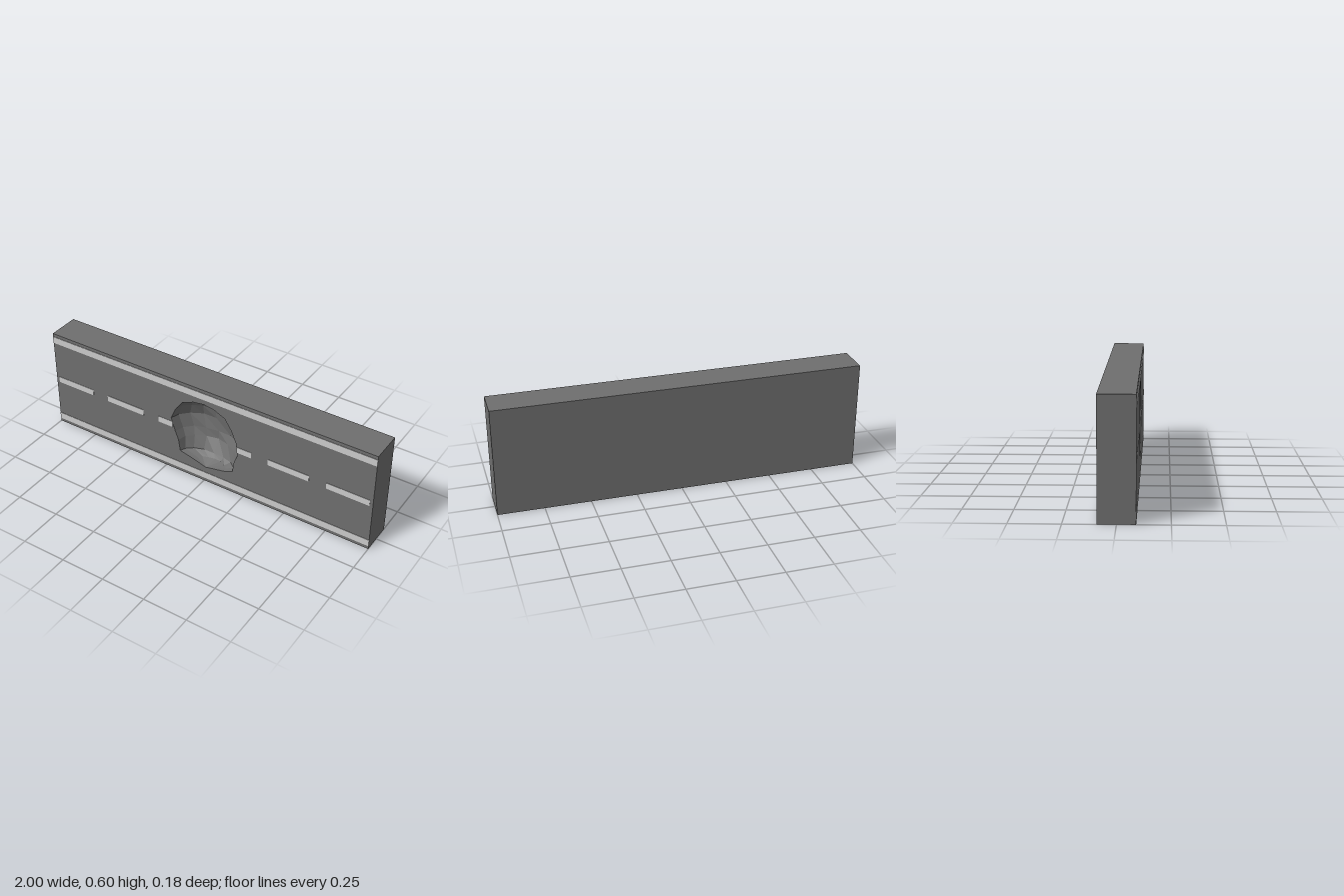
import * as THREE from 'three';

const FRONT = 0.09;
const asphalt = new THREE.MeshStandardMaterial({ color: 0x6e6e6e, flatShading: true });
const paint = new THREE.MeshStandardMaterial({ color: 0xcccccc, flatShading: true });

// Pothole rows from top to bottom: [y, left edge x, right edge x]
const ROWS = [
  [0.51, 0, 0], [0.50, -0.065, 0.065], [0.47, -0.135, 0.13], [0.41, -0.18, 0.17],
  [0.34, -0.21, 0.20], [0.26, -0.185, 0.21], [0.21, -0.165, 0.19],
  [0.14, -0.155, 0.18], [0.12, -0.07, 0.13], [0.096, 0.01, 0.01],
];

function add(group, name, geometry, material) {
  const mesh = new THREE.Mesh(geometry, material);
  mesh.name = name;
  group.add(mesh);
}

// Hollow of the pothole: each row is a half ellipse sunk behind the road face
function potholeGeometry() {
  const columns = 8, depth = 0.135, positions = [], index = [];
  ROWS.forEach(([y, left, right], r) => {
    const rowDepth = depth * Math.sqrt(Math.max(0, 1 - ((y - 0.303) / 0.207) ** 2));
    for (let c = 0; c <= columns; c++) {
      const angle = (c / columns - 0.5) * Math.PI;
      const rough = 1 + 0.05 * Math.sin(r * 2.3 + c * 1.7);
      positions.push(
        (left + right) / 2 + (right - left) / 2 * Math.sin(angle),
        y,
        FRONT - rowDepth * Math.cos(angle) * rough,
      );
      if (r < ROWS.length - 1 && c < columns) {
        const a = r * (columns + 1) + c, b = a + columns + 1;
        index.push(a, b, b + 1, a, b + 1, a + 1);
      }
    }
  });
  const geometry = new THREE.BufferGeometry();
  geometry.setAttribute('position', new THREE.Float32BufferAttribute(positions, 3));
  geometry.setIndex(index);
  geometry.computeVertexNormals();
  return geometry;
}

export function createModel() {
  const model = new THREE.Group();
  model.name = 'roadSection';

  // Slab sides and back: a box without its front face
  const slab = new THREE.BoxGeometry(2, 0.6, 2 * FRONT).translate(0, 0.3, 0);
  const faces = Array.from(slab.index.array);
  faces.splice(24, 6);
  slab.setIndex(faces);
  slab.clearGroups();
  add(model, 'slab', slab, asphalt);

  // Road face with the pothole opening
  const face = new THREE.Shape([[-1, 0], [1, 0], [1, 0.6], [-1, 0.6]].map(p => new THREE.Vector2(...p)));
  const rim = [
    ...ROWS.map(([y, left]) => new THREE.Vector2(left, y)),
    ...ROWS.slice(1, -1).reverse().map(([y, , right]) => new THREE.Vector2(right, y)),
  ];
  face.holes.push(new THREE.Path(rim));
  add(model, 'roadFace', new THREE.ShapeGeometry(face).translate(0, 0, FRONT), asphalt);
  add(model, 'pothole', potholeGeometry(), asphalt);

  // Painted lines, slightly raised
  const stripe = (name, x0, x1, y, height) => add(model, name,
    new THREE.BoxGeometry(x1 - x0, height, 0.004).translate((x0 + x1) / 2, y, FRONT), paint);
  stripe('lowerEdgeLine', -1, 1, 0.04, 0.04);
  stripe('upperEdgeLine', -1, 1, 0.56, 0.04);

  // Centre dashes; the middle pair is cut off at the pothole
  for (let i = 0; i < 6; i++) {
    const x = (i - 2.5) * 0.344;
    let x0 = x - 0.122, x1 = x + 0.122;
    if (i === 2) x1 = -0.2;
    if (i === 3) x0 = 0.206;
    stripe('centreDash', x0, x1, 0.3, 0.036);
  }
  return model;
}
